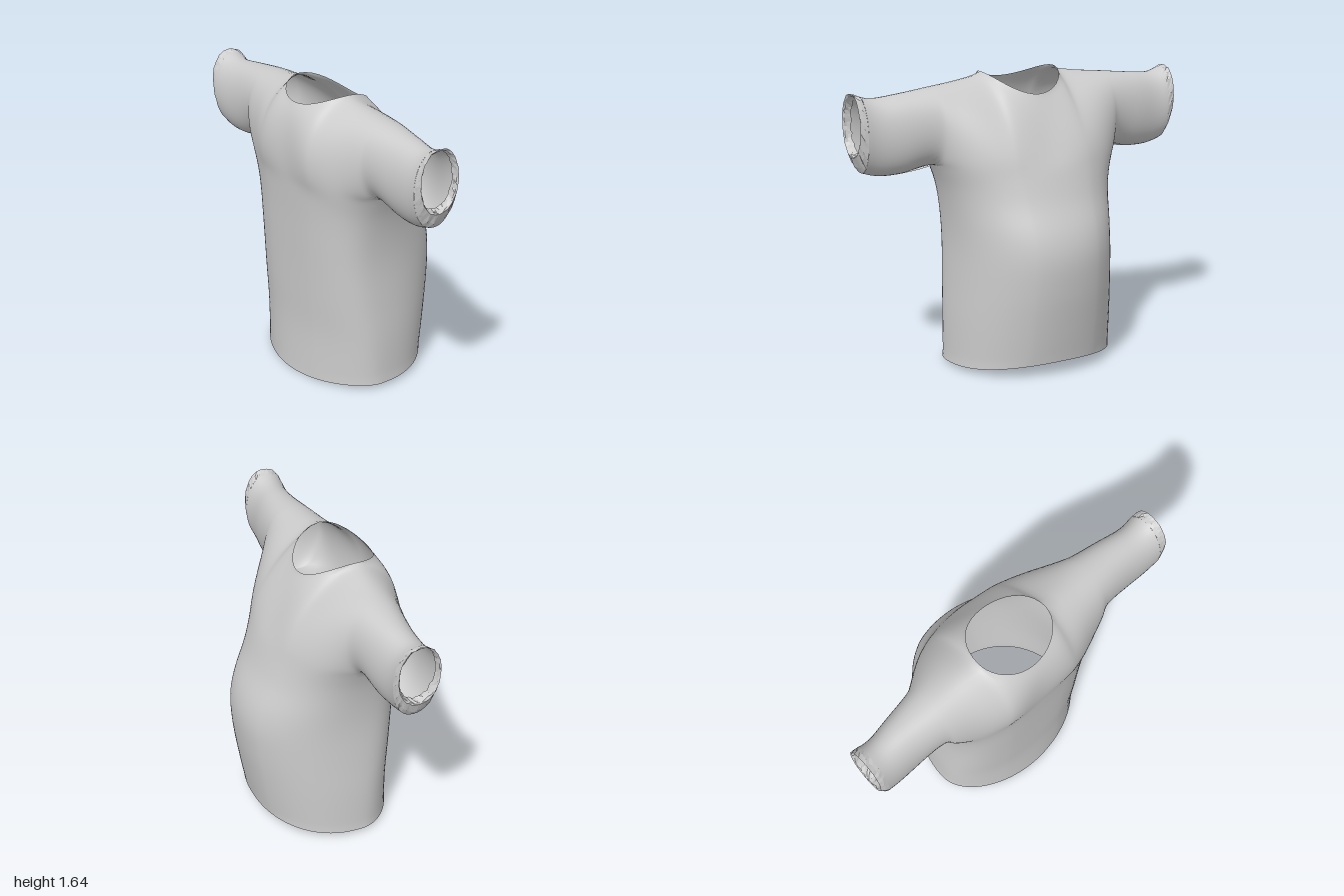
import * as THREE from 'three';
import { mergeVertices } from 'three/addons/utils/BufferGeometryUtils.js';

const ARMPIT = 0.545, NECK = 0.23, SLEEVE_END = 0.955;

// Smooth lookup through rows of [key, ...values]
function smoothTable(rows) {
  const size = rows[0].length - 1;
  const f = new THREE.CubicInterpolant(rows.map(r => r[0]), rows.flatMap(r => r.slice(1)), size, new Float32Array(size));
  return k => Array.from(f.evaluate(k));
}

// Torso by height: half width, side seam z, front z, back z, front and back squareness
const torso = smoothTable([
  [0, 0.492, 0.12, 0.415, -0.34, 1.95, 2.25], [0.3, 0.485, 0.12, 0.4, -0.395, 2.2, 2.2],
  [0.5, 0.473, 0.12, 0.402, -0.425, 2.5, 2.2], [0.7, 0.465, 0.12, 0.405, -0.434, 2.75, 2.2],
  [0.82, 0.469, 0.12, 0.408, -0.407, 2.8, 2.2], [0.97, 0.488, 0.125, 0.412, -0.337, 2.7, 2.2],
  [1.08, 0.515, 0.13, 0.417, -0.297, 2.6, 2.2], [1.15, ARMPIT, 0.13, 0.42, -0.272, 2.6, 2.2],
]);

// Yoke and sleeve sections by x: Bezier controls (y, z) from armpit level up to the shoulder ridge
const frontSection = smoothTable([
  [0, 1.15, 0.42, 1.28, 0.433, 1.48, 0.42, 1.65, 0.18],
  [0.23, 1.15, 0.41, 1.28, 0.453, 1.52, 0.45, 1.64, 0.17],
  [0.4, 1.15, 0.37, 1.27, 0.385, 1.57, 0.38, 1.607, 0.16],
  [0.545, 1.16, 0.13, 1.16, 0.36, 1.59, 0.37, 1.588, 0.15],
  [0.75, 1.125, 0.15, 1.12, 0.335, 1.57, 0.335, 1.565, 0.15],
  [0.9, 1.13, 0.16, 1.13, 0.335, 1.55, 0.335, 1.555, 0.16],
  [0.96, 1.16, 0.16, 1.16, 0.335, 1.57, 0.335, 1.57, 0.16],
  [1, 1.24, 0.165, 1.25, 0.32, 1.59, 0.32, 1.585, 0.165],
]);
const backSection = smoothTable([
  [0, 1.15, -0.27, 1.28, -0.2, 1.42, -0.13, 1.65, 0.18],
  [0.23, 1.15, -0.25, 1.28, -0.22, 1.5, -0.11, 1.64, 0.17],
  [0.4, 1.15, -0.16, 1.26, -0.16, 1.56, -0.09, 1.607, 0.16],
  [0.545, 1.16, 0.13, 1.16, -0.075, 1.59, -0.075, 1.588, 0.15],
  [0.75, 1.125, 0.15, 1.12, -0.03, 1.57, -0.03, 1.565, 0.15],
  [0.9, 1.13, 0.16, 1.13, 0, 1.55, 0, 1.555, 0.16],
  [0.96, 1.16, 0.16, 1.16, -0.005, 1.57, -0.005, 1.57, 0.16],
  [1, 1.24, 0.165, 1.25, 0.005, 1.59, 0.005, 1.585, 0.165],
]);

// The garment hangs slightly to one side
const place = (x, y, z) => [x - 0.015 * (1 - Math.abs(x)), y, z];

// Lower torso: r = 0 at the hem, 1 at armpit level
function torsoPoint(x, r, isFront) {
  const u = Math.min(1, Math.abs(x) / ARMPIT);
  const hem = isFront ? 0.003 + 0.04 * u * u - 0.015 * u ** 6 : 0.08 - 0.052 * u * u;
  const top = (isFront ? frontSection : backSection)(Math.abs(x))[0];
  const y = hem + (top - hem) * r;
  const [w, mid, zf, zb, nf, nb] = torso(r === 1 ? 1.15 : Math.min(y, 1.15));
  const n = isFront ? nf : nb;
  const z = mid + ((isFront ? zf : zb) - mid) * Math.pow(1 - Math.pow(u, n), 1 / n);
  return place(Math.sign(x) * u * w, y, z);
}

// Yoke and sleeves: v = 0 at armpit level or sleeve underside, 1 at the ridge or neckline
function yokePoint(x, v, isFront) {
  const a = Math.abs(x);
  const p = (isFront ? frontSection : backSection)(a);
  if (a < ARMPIT) {
    const start = torsoPoint(x, 1, isFront);
    p[0] = start[1];
    p[1] = start[2];
  }
  if (a <= NECK) {
    const k = a / NECK, round = Math.sqrt(Math.max(0, 1 - k * k));
    p[6] = isFront ? 1.575 + 0.065 * k * k : 1.53 + 0.11 * k * k;
    p[7] = 0.17 + (isFront ? 0.18 : -0.24) * round;
  }
  const b = [(1 - v) ** 3, 3 * v * (1 - v) ** 2, 3 * v * v * (1 - v), v ** 3];
  let y = 0, z = 0;
  b.forEach((s, i) => { y += s * p[2 * i]; z += s * p[2 * i + 1]; });
  return place(x, y, z);
}

// Adds a sheet of quads spanned by columns and rows
function addSheet(out, cols, rows, point, flip) {
  const base = out.pos.length / 3, n = cols.length;
  for (const r of rows) for (const c of cols) out.pos.push(...point(c, r));
  for (let j = 0; j < rows.length - 1; j++) for (let i = 0; i < n - 1; i++) {
    const a = base + j * n + i, b = a + 1, c = a + n, d = c + 1;
    out.idx.push(...(flip ? [a, c, b, b, c, d] : [a, b, c, b, d, c]));
  }
}

// Relaxes the cloth; open edges stay where they are
function relax(g, passes) {
  const pos = g.attributes.position, idx = g.index.array;
  const near = Array.from({ length: pos.count }, () => new Map());
  for (let t = 0; t < idx.length; t += 3) for (let k = 0; k < 3; k++) {
    const a = idx[t + k], b = idx[t + (k + 1) % 3];
    near[a].set(b, (near[a].get(b) || 0) + 1);
    near[b].set(a, (near[b].get(a) || 0) + 1);
  }
  const free = near.map(m => [...m.values()].every(c => c > 1));
  for (let n = 0; n < passes; n++) {
    const old = pos.array.slice();
    near.forEach((m, i) => {
      if (!free[i]) return;
      for (let k = 0; k < 3; k++) {
        let sum = 0;
        for (const j of m.keys()) sum += old[3 * j + k];
        pos.array[3 * i + k] = (old[3 * i + k] + sum / m.size) / 2;
      }
    });
  }
}

function toMesh(out, name, passes, flatShading) {
  let g = new THREE.BufferGeometry();
  g.setAttribute('position', new THREE.Float32BufferAttribute(out.pos, 3));
  g.setIndex(out.idx);
  g = mergeVertices(g, 1e-5);
  relax(g, passes);
  g.computeVertexNormals();
  const mesh = new THREE.Mesh(g, new THREE.MeshStandardMaterial({ color: 0xcccccc, side: THREE.DoubleSide, flatShading }));
  mesh.name = name;
  return mesh;
}

const steps = n => Array.from({ length: n + 1 }, (_, i) => i / n);

// Crumpled, turned-in sleeve edge
function makeCuff(side, name) {
  const out = { pos: [], idx: [] };
  const noise = (i, j) => { const s = Math.sin(i * 127.1 + j * 311.7 + side * 17) * 43758.5; return s - Math.floor(s) - 0.5; };
  const path = [[0.955, 1], [0.975, 1], [0.998, 0.99], [0.99, 0.94], [0.975, 0.91], [0.955, 0.88]];
  const N = 44;
  addSheet(out, [...Array(N + 1).keys()], [...path.keys()], (i, j) => {
    const k = i % N, isFront = k <= N / 2;
    const v = isFront ? k / (N / 2) : 2 - k / (N / 2);
    const [x, scale] = path[j];
    const p = yokePoint(side * (j > 2 ? 0.998 : x), v, isFront);
    const s = scale + (j > 0 ? 0.05 * noise(k, j) : 0);
    const shift = j > 0 && j !== 2 ? 0.01 * noise(k + 50, j) : 0;
    return [side * (x + shift), 1.41 + (p[1] - 1.41) * s, 0.163 + (p[2] - 0.163) * s];
  }, side < 0);
  return toMesh(out, name, 0, true);
}

export function createModel() {
  const group = new THREE.Group();
  group.name = 'shirt';

  // Columns bunch up at the neckline and at the side seams
  const half = [
    ...steps(10).map(t => NECK * Math.sin(t * Math.PI / 2)),
    ...steps(14).slice(1).map(t => NECK + (ARMPIT - NECK) * Math.sin(t * Math.PI / 2)),
    ...steps(16).slice(1).map(t => ARMPIT + (SLEEVE_END - ARMPIT) * t),
  ];
  const cols = [...half.slice(1).reverse().map(x => -x), ...half];
  const torsoCols = cols.filter(x => Math.abs(x) <= ARMPIT + 1e-6);

  // Front and back sheets share the ridge, side and sleeve seams
  const body = { pos: [], idx: [] };
  for (const isFront of [true, false]) {
    addSheet(body, torsoCols, steps(40), (x, r) => torsoPoint(x, r, isFront), !isFront);
    addSheet(body, cols, steps(22), (x, v) => yokePoint(x, v, isFront), !isFront);
  }
  group.add(toMesh(body, 'shirtBody', 5, false));
  group.add(makeCuff(1, 'leftCuff'), makeCuff(-1, 'rightCuff'));
  return group;
}
